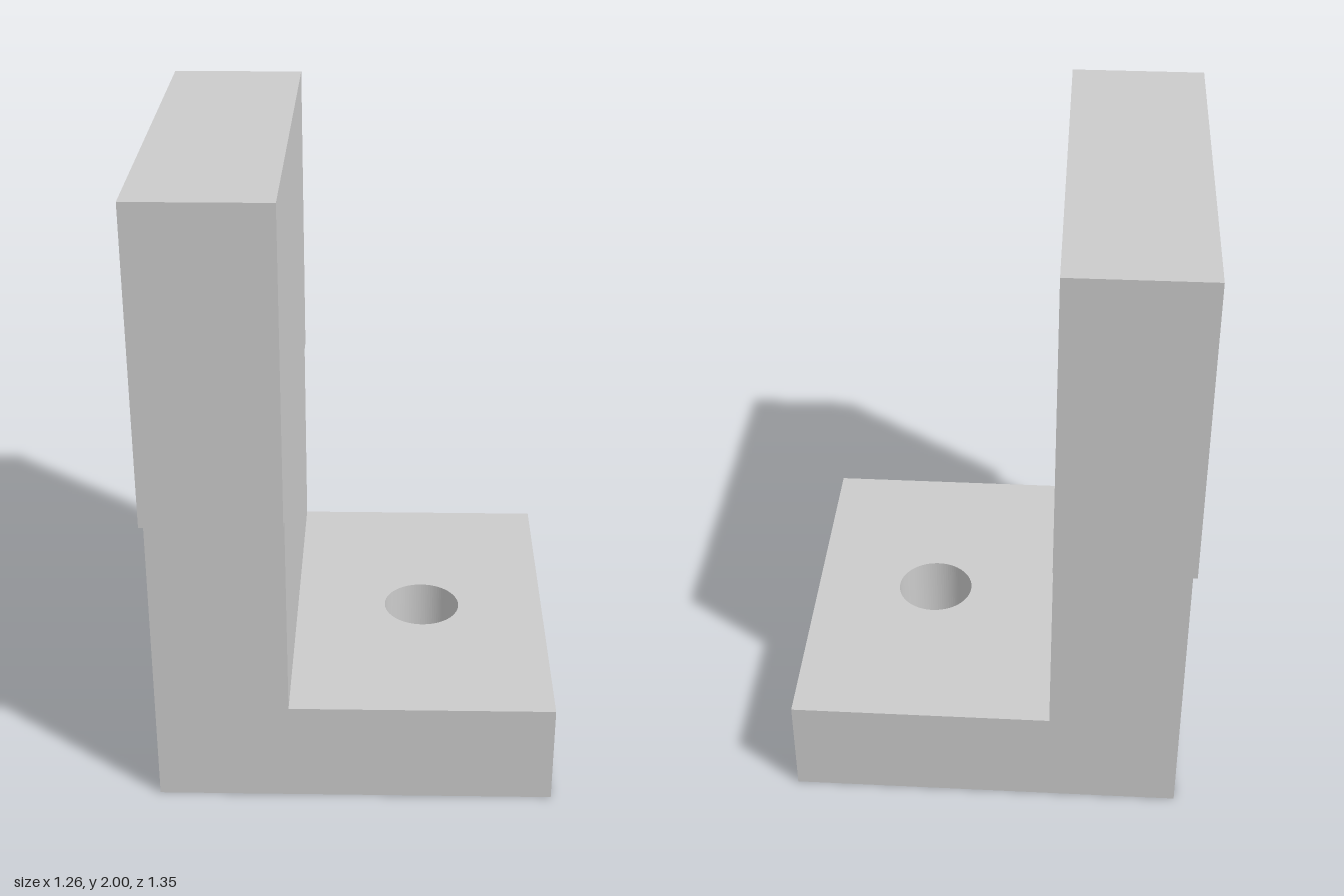
import * as THREE from 'three';

const material = new THREE.MeshStandardMaterial({ color: 0xcccccc });

// Box given by its minimum and maximum corners
function block(name, [x0, y0, z0], [x1, y1, z1]) {
  const geometry = new THREE.BoxGeometry(x1 - x0, y1 - y0, z1 - z0);
  geometry.translate((x0 + x1) / 2, (y0 + y1) / 2, (z0 + z1) / 2);
  const mesh = new THREE.Mesh(geometry, material);
  mesh.name = name;
  return mesh;
}

export function createModel() {
  const group = new THREE.Group();
  group.name = 'angleBracket';

  const left = 0.628, right = -0.622, wall = -0.205;
  const back = -0.614, front = 0.632;
  const plateTop = 0.333, ledge = 1.003;

  // Base plate with a round through-hole (shape y becomes -z)
  const outline = new THREE.Shape([
    new THREE.Vector2(right, -front),
    new THREE.Vector2(left, -front),
    new THREE.Vector2(left, -back),
    new THREE.Vector2(right, -back),
  ]);
  outline.holes.push(new THREE.Path().absarc(0.218, -0.022, 0.126, 0, Math.PI * 2, true));
  const plate = new THREE.ExtrudeGeometry(outline, {
    depth: plateTop, bevelEnabled: false, curveSegments: 48,
  });
  plate.rotateX(-Math.PI / 2);
  const basePlate = new THREE.Mesh(plate, material);
  basePlate.name = 'basePlate';
  group.add(basePlate);

  // Upright arm of the bracket
  group.add(block('upright', [right, plateTop, back], [wall, ledge, front]));

  // Slightly wider block resting on the upright
  group.add(block('upperBlock', [-0.63, ledge, -0.675], [wall, 2, 0.673]));

  return group;
}
